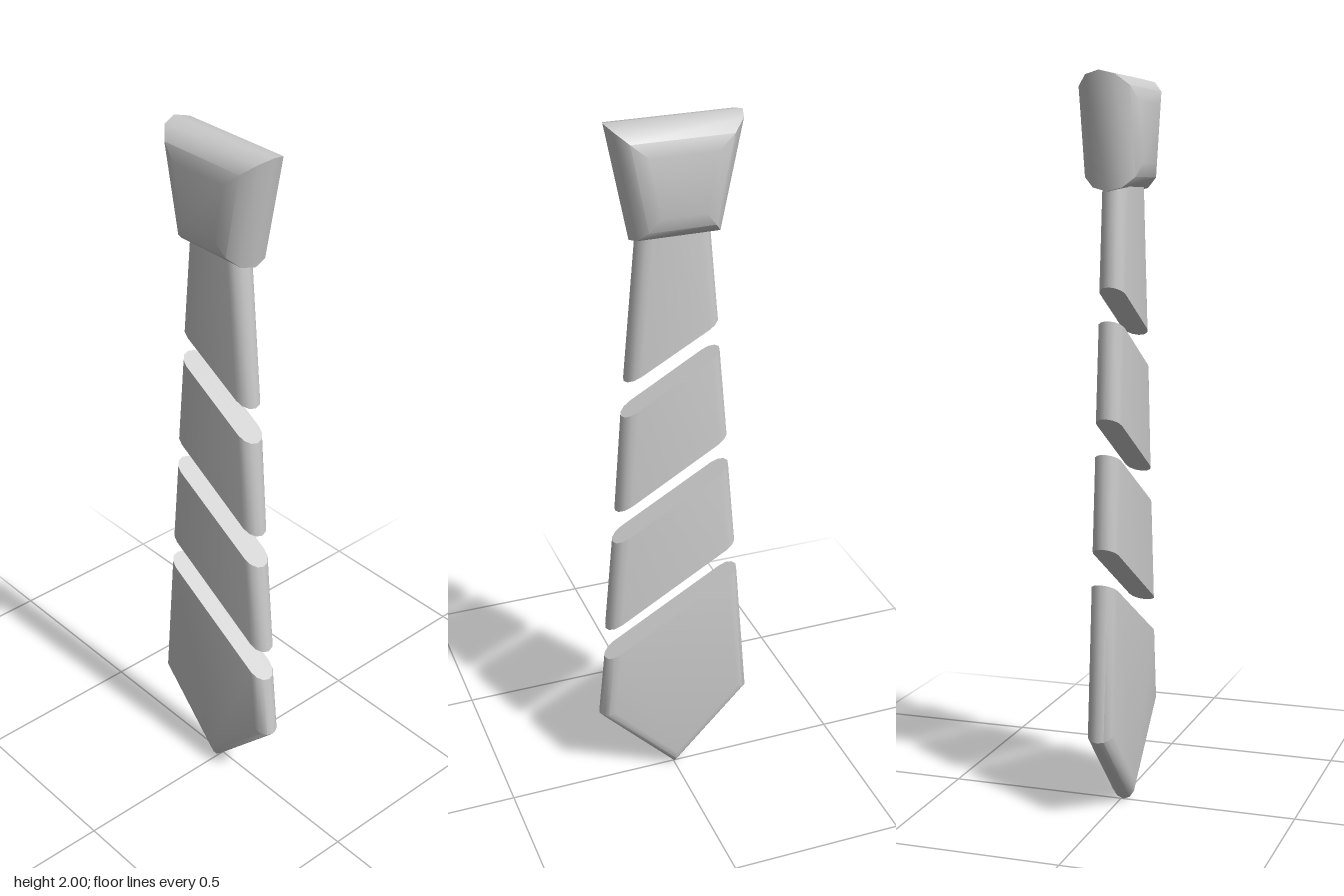
import * as THREE from 'three';
import { toCreasedNormals } from 'three/addons/utils/BufferGeometryUtils.js';

const STEPS = 6; // bevel layers from back to front

// Moves each rounded edge of a counter-clockwise outline inwards by d.
function insetOutline(points, rounded, d) {
  const n = points.length;
  const lines = points.map((p, i) => {
    const q = points[(i + 1) % n];
    const dx = q[0] - p[0], dy = q[1] - p[1], len = Math.hypot(dx, dy);
    const nx = -dy / len, ny = dx / len;
    return { nx, ny, c: nx * p[0] + ny * p[1] + (rounded[i] ? d : 0) };
  });
  return lines.map((b, i) => {
    const a = lines[(i + n - 1) % n];
    const det = a.nx * b.ny - a.ny * b.nx;
    return [(a.c * b.ny - a.ny * b.c) / det, (a.nx * b.c - a.c * b.nx) / det];
  });
}

// Slab with half-round borders on the flagged edges and straight cuts on the others.
function roundedSlab(points, rounded, half, inset, zMid) {
  const n = points.length, pos = [], index = [];
  for (let k = 0; k <= STEPS; k++) {
    const a = -Math.PI / 2 + (Math.PI * k) / STEPS;
    const ring = insetOutline(points, rounded, inset * (1 - Math.cos(a)));
    for (const [x, y] of ring) pos.push(x, y, zMid + half * Math.sin(a));
  }
  for (let k = 0; k < STEPS; k++) {
    for (let i = 0; i < n; i++) {
      const j = (i + 1) % n;
      const a = k * n + i, b = k * n + j;
      index.push(a, b, b + n, a, b + n, a + n);
    }
  }
  const last = STEPS * n;
  for (let i = 1; i < n - 1; i++) {
    index.push(0, i + 1, i); // back
    index.push(last, last + i, last + i + 1); // front
  }
  const geo = new THREE.BufferGeometry();
  geo.setAttribute('position', new THREE.Float32BufferAttribute(pos, 3));
  geo.setIndex(index);
  return toCreasedNormals(geo, THREE.MathUtils.degToRad(36));
}

export function createModel() {
  const group = new THREE.Group();
  group.name = 'necktie';
  const cloth = new THREE.MeshStandardMaterial({ color: 0xcccccc });
  cloth.name = 'light grey cloth';

  const add = (name, points, rounded, half, inset, zMid) => {
    const mesh = new THREE.Mesh(roundedSlab(points, rounded, half, inset, zMid), cloth);
    mesh.name = name;
    group.add(mesh);
  };

  // Knot, rounded on every border
  add('knot', [[-0.12, 1.694], [0.12, 1.694], [0.182, 2], [-0.182, 2]],
    [1, 1, 1, 1], 0.081, 0.075, 0);

  // Slanted bands: lower left, lower right, upper right, upper left
  const bands = {
    neckBand: [[-0.125, 1.445], [0.137, 1.3], [0.095, 1.76], [-0.095, 1.76]],
    upperBand: [[-0.155, 1.1], [0.168, 0.912], [0.146, 1.198], [-0.131, 1.357]],
    middleBand: [[-0.184, 0.755], [0.203, 0.53], [0.177, 0.813], [-0.161, 1.006]],
  };
  for (const [name, points] of Object.entries(bands)) {
    add(name, points, [0, 1, 0, 1], 0.036, 0.036, 0.007);
  }

  // Pointed end
  add('pointedEnd',
    [[0, 0], [0.227, 0.235], [0.207, 0.43], [-0.192, 0.66], [-0.228, 0.235]],
    [1, 1, 0, 1, 1], 0.036, 0.036, 0.007);

  return group;
}
